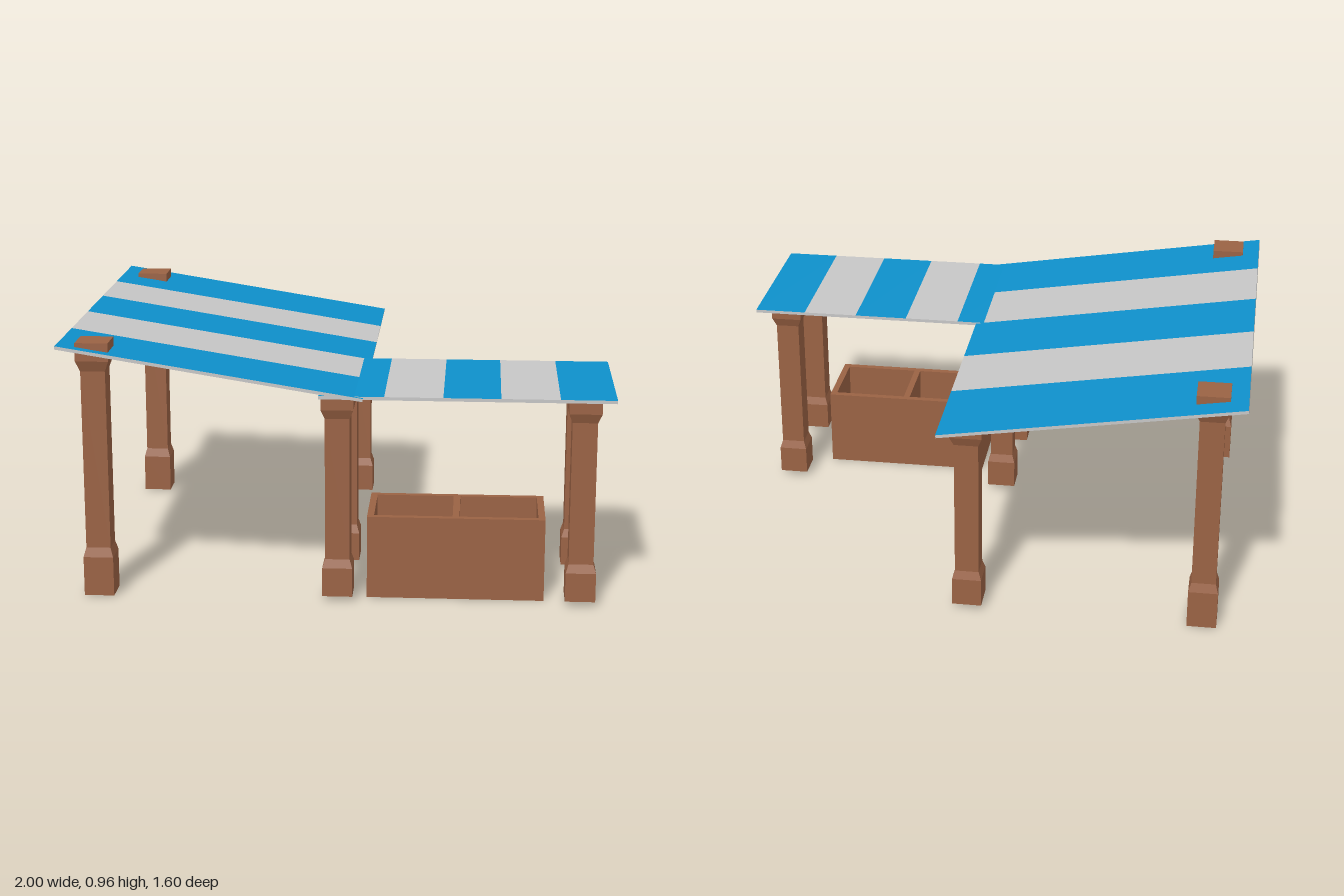
import * as THREE from 'three';

const brown = new THREE.MeshStandardMaterial({ color: 0x9a6244 });
brown.name = 'brown wood';
const blue = new THREE.MeshStandardMaterial({ color: 0x0e90cb });
blue.name = 'blue cloth';
const grey = new THREE.MeshStandardMaterial({ color: 0xc6c6c6 });
grey.name = 'pale grey cloth';

// Square post: [half width, y] profile swept in four flat sides
function makePost(name, x, z, profile) {
  const points = profile.map(([w, y]) => new THREE.Vector2(w * Math.SQRT2, y));
  const geometry = new THREE.LatheGeometry(points, 4, Math.PI / 4).toNonIndexed();
  geometry.computeVertexNormals();
  const post = new THREE.Mesh(geometry, brown);
  post.name = name;
  post.position.set(x, 0, z);
  return post;
}

// Foot, shaft and flared cap
function postProfile(bottom, footTop, shaftStart, shaftEnd, capStart, top, capHalf) {
  return [
    [0, bottom], [0.055, bottom], [0.055, footTop], [0.045, shaftStart],
    [0.045, shaftEnd], [capHalf, capStart], [capHalf, top], [0, top],
  ];
}

// Striped slab with its top at y = 0; stripes run along the given axis
function makeCanopy(name, axis, edges, crossCentre, crossSize, thickness) {
  const canopy = new THREE.Group();
  canopy.name = name;
  for (let i = 0; i < edges.length - 1; i++) {
    const size = edges[i + 1] - edges[i];
    const centre = (edges[i] + edges[i + 1]) / 2;
    const alongX = axis === 'x';
    const geometry = new THREE.BoxGeometry(
      alongX ? size : crossSize, thickness, alongX ? crossSize : size);
    geometry.translate(
      alongX ? centre : crossCentre, -thickness / 2, alongX ? crossCentre : centre);
    const top = i % 2 === 0 ? blue : grey;
    const stripe = new THREE.Mesh(geometry, [grey, grey, top, grey, grey, grey]);
    stripe.name = top === blue ? 'blueStripe' : 'greyStripe';
    canopy.add(stripe);
  }
  return canopy;
}

// Open crate with two compartments
function makeCrate() {
  const crate = new THREE.Group();
  crate.name = 'crate';
  const width = 0.65, depth = 0.305, height = 0.31, wall = 0.025, floor = 0.025;
  const rect = (target, x0, y0, x1, y1) => {
    target.moveTo(x0, y0);
    target.lineTo(x1, y0);
    target.lineTo(x1, y1);
    target.lineTo(x0, y1);
    target.closePath();
    return target;
  };
  const outline = rect(new THREE.Shape(), -width / 2, -depth / 2, width / 2, depth / 2);
  for (const side of [-1, 1]) {
    const a = side * wall / 2;
    const b = side * (width / 2 - wall);
    outline.holes.push(rect(new THREE.Path(),
      Math.min(a, b), -depth / 2 + wall, Math.max(a, b), depth / 2 - wall));
  }
  const wallGeometry = new THREE.ExtrudeGeometry(outline, { depth: height, bevelEnabled: false });
  wallGeometry.rotateX(-Math.PI / 2);
  const walls = new THREE.Mesh(wallGeometry, brown);
  walls.name = 'crateWalls';
  const base = new THREE.Mesh(
    new THREE.BoxGeometry(width - wall, floor, depth - wall), brown);
  base.position.y = floor / 2;
  base.name = 'crateFloor';
  crate.add(walls, base);
  crate.position.set(0.435, 0, 0.55);
  return crate;
}

export function createModel() {
  const model = new THREE.Group();
  model.name = 'marketStall';

  // Tall posts that pass through the sloping canopy
  const tall = postProfile(0.003, 0.15, 0.185, 0.85, 0.89, 0.957, 0.06);
  for (const z of [-0.657, 0.702]) model.add(makePost('tallPost', -0.876, z, tall));

  // Short posts
  const short = postProfile(0.02, 0.128, 0.16, 0.69, 0.725, 0.772, 0.059);
  for (const [x, z] of [[0.005, -0.653], [0.005, 0.287], [0.005, 0.705], [0.89, 0.287], [0.89, 0.705]]) {
    model.add(makePost('shortPost', x, z, short));
  }

  // Large sloping canopy, hinged at its high edge
  const run = 1.1, drop = 0.175;
  const length = Math.hypot(run, drop);
  const large = makeCanopy('slopingCanopy', 'z',
    [-0.8, -0.44, -0.13, 0.18, 0.49, 0.8], length / 2, length, 0.012);
  large.position.set(-1, 0.953, 0);
  large.rotation.z = -Math.atan2(drop, run);
  model.add(large);

  // Small level canopy
  const small = makeCanopy('levelCanopy', 'x',
    [-0.06, 0.175, 0.385, 0.59, 0.8, 1], 0.483, 0.61, 0.012);
  small.position.y = 0.783;
  model.add(small);

  model.add(makeCrate());
  return model;
}
